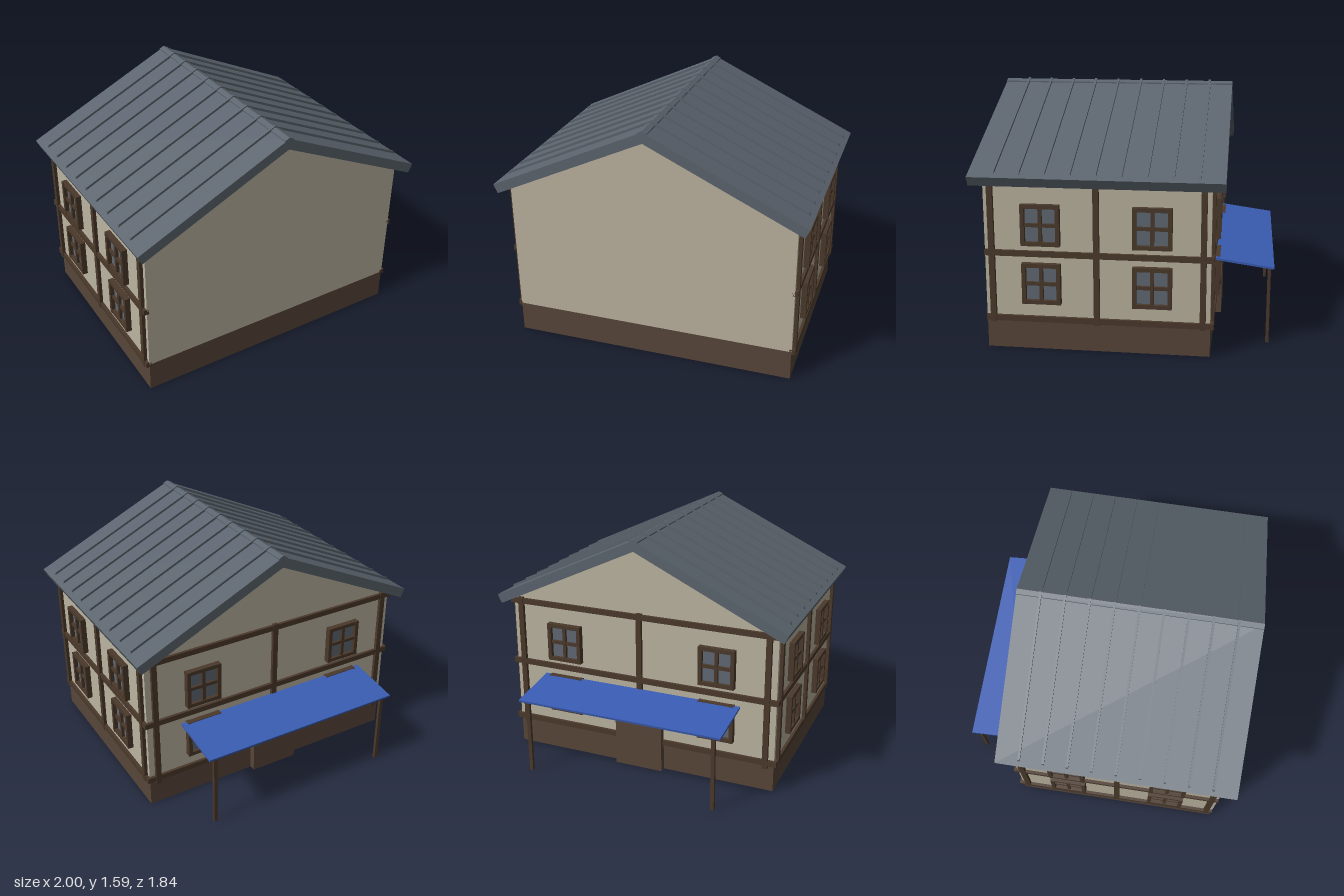
import * as THREE from 'three';

const mat = (name, color) => {
  const m = new THREE.MeshStandardMaterial({ color });
  m.name = name;
  return m;
};

export function createModel() {
  const plaster = mat('plaster', 0xbcb4a1);
  const brown = mat('plinth brown', 0x58463a);
  const timber = mat('timber', 0x4b392b);
  const slate = mat('slate', 0x5b646e);
  const glass = mat('glass', 0x606974);
  const blue = mat('awning blue', 0x3a5db4);

  const house = new THREE.Group();
  house.name = 'house';
  const add = (parent, name, geometry, material, x = 0, y = 0, z = 0) => {
    const mesh = new THREE.Mesh(geometry, material);
    mesh.name = name;
    mesh.position.set(x, y, z);
    parent.add(mesh);
    return mesh;
  };
  const box = (parent, name, material, w, h, d, x, y, z) =>
    add(parent, name, new THREE.BoxGeometry(w, h, d), material, x, y, z);
  const extrude = (points, depth) => new THREE.ExtrudeGeometry(
    new THREE.Shape(points.map(([x, y]) => new THREE.Vector2(x, y))),
    { depth, bevelEnabled: false });

  const front = 0.845, back = -0.54, midZ = (front + back) / 2, depth = front - back;

  // Plinth and gabled walls
  box(house, 'plinth', brown, 1.84, 0.2, depth, 0, 0.1, midZ);
  add(house, 'walls', extrude(
    [[-0.922, 0.2], [0.922, 0.2], [0.922, 1.075], [0, 1.505], [-0.922, 1.075]], depth),
    plaster, 0, 0, back);

  // Roof: mitred slab, standing seams and ridge cap
  const roof = new THREE.Group();
  roof.name = 'roof';
  house.add(roof);
  add(roof, 'roofSlab', extrude(
    [[-0.973, 1.045], [0, 1.502], [0.973, 1.045], [1, 1.102], [0, 1.572], [-1, 1.102]], 1.54),
    slate, 0, 0, -0.62);
  const seam = extrude(
    [[-0.972, 1.11], [0, 1.566], [0.972, 1.11], [0.966, 1.134], [0, 1.588], [-0.966, 1.134]], 0.015);
  for (let i = 0; i < 9; i++) add(roof, 'roofSeam', seam, slate, 0, 0, -0.476 + i * 0.1543);
  add(roof, 'ridgeCap', extrude(
    [[-0.03, 1.55], [0.03, 1.55], [0.03, 1.566], [0, 1.58], [-0.03, 1.566]], 1.54),
    slate, 0, 0, -0.62);

  // Window built facing +z, with a frame, a cross and a pane
  const makeWindow = () => {
    const g = new THREE.Group();
    g.name = 'window';
    const w = 0.24, h = 0.258, t = 0.025;
    box(g, 'windowPane', glass, w - t, h - t, 0.008, 0, 0, 0.006);
    for (const s of [-1, 1]) {
      box(g, 'frameSide', timber, t, h, 0.04, s * (w - t) / 2, 0, 0.016);
      box(g, 'frameRail', timber, w, t, 0.036, 0, s * (h - t) / 2, 0.016);
    }
    box(g, 'mullion', timber, 0.022, h, 0.03, 0, 0, 0.014);
    box(g, 'transom', timber, w, 0.022, 0.026, 0, 0, 0.014);
    return g;
  };
  const placeWindow = (x, y, z, turn) => {
    const g = makeWindow();
    g.position.set(x, y, z);
    g.rotation.y = turn;
    house.add(g);
  };
  const floors = [0.433, 0.803];
  const beamHeights = [0.2, 0.62, 1.055];

  // Timber framing and windows on both long sides
  for (const s of [-1, 1]) {
    for (const z of [0.8, 0.152, -0.495])
      box(house, 'sidePost', timber, 0.04, 0.89, 0.036, s * 0.924, 0.62, z);
    for (const y of beamHeights)
      box(house, 'sideBeam', timber, 0.034, 0.036, depth + 0.018, s * 0.924, y, midZ - 0.009);
    for (const y of floors)
      for (const z of [0.492, -0.188]) placeWindow(s * 0.922, y, z, s * Math.PI / 2);
  }

  // Timber framing and windows on the back
  for (const x of [-0.865, 0, 0.865])
    box(house, 'backPost', timber, 0.036, 0.92, 0.044, x, 0.62, back);
  for (const y of beamHeights)
    box(house, 'backBeam', timber, 1.88, 0.036, 0.038, 0, y, back);
  for (const y of floors)
    for (const x of [-0.535, 0.535]) placeWindow(x, y, back - 0.008, Math.PI);
  box(house, 'door', brown, 0.33, 0.46, 0.045, 0, 0.23, back - 0.02);

  // Sloping awning on two posts
  const awning = box(house, 'awning', blue, 1.385, 0.014, 0.365, 0, 0.53, -0.738);
  awning.rotation.x = -0.135;
  for (const s of [-1, 1])
    box(house, 'awningPost', timber, 0.025, 0.505, 0.02, s * 0.64, 0.2525, -0.89);

  return house;
}
